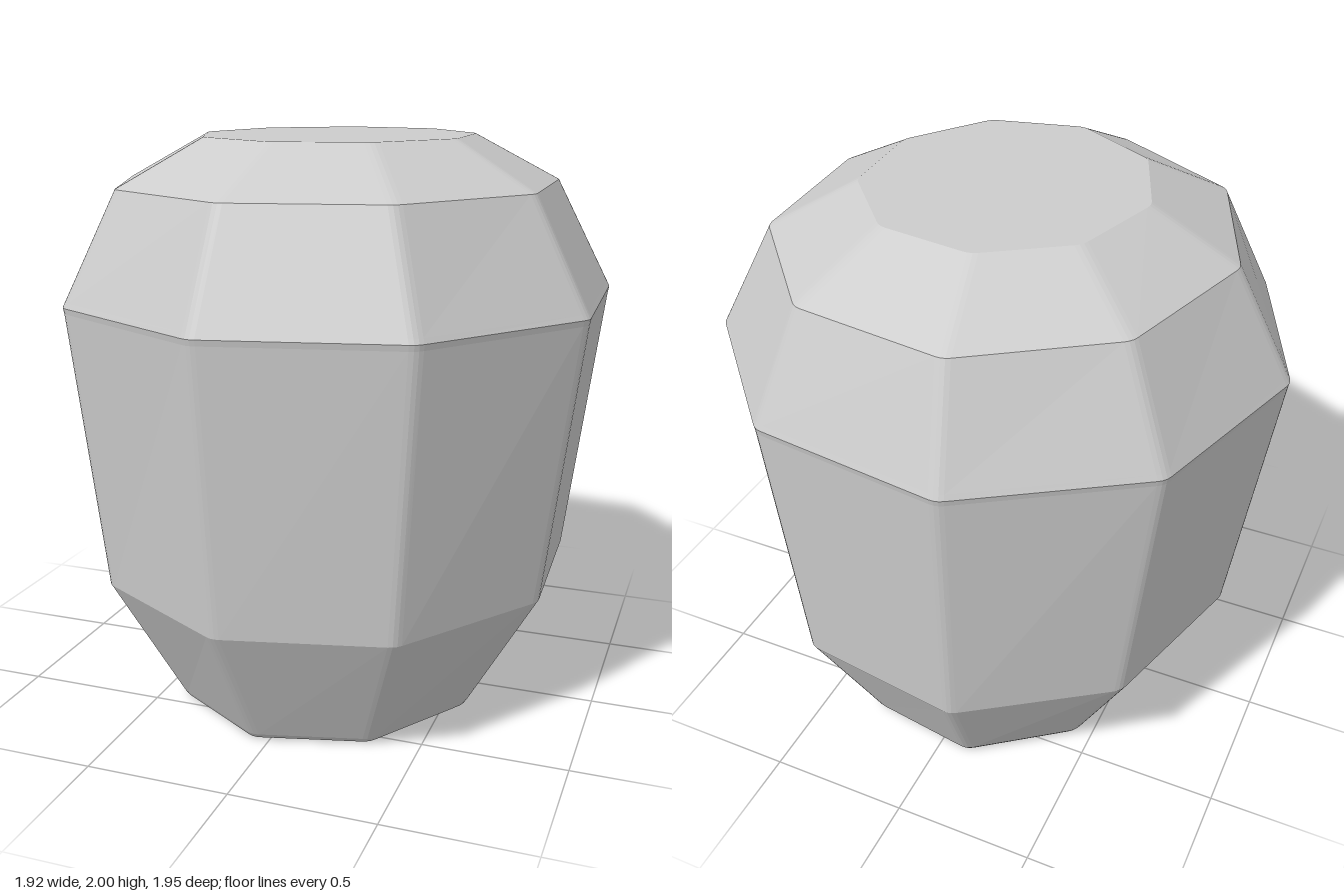
import * as THREE from 'three';

const SIDES = 9;
const START = THREE.MathUtils.degToRad(17.4);
const BEVEL = 0.025; // softening of the upright edges
const STEPS = 3;

// Rings from bottom to top: height, x radius, z radius
const RINGS = [
  [0, 0.56, 0.655],
  [0.008, 0.576, 0.672],
  [0.025, 0.588, 0.685],
  [0.475, 0.853, 0.917],
  [1.44, 0.983, 0.993],
  [1.46, 0.987, 0.997],
  [1.478, 0.977, 0.989],
  [1.84, 0.782, 0.833],
  [2, 0.483, 0.508],
];

// One nine-sided ring with softened corners
function ringPoints([y, rx, rz]) {
  const corner = (i) => {
    const a = START + (i / SIDES) * Math.PI * 2;
    return new THREE.Vector3(0.02 + rx * Math.cos(a), y, -0.01 + rz * Math.sin(a));
  };
  const points = [];
  for (let i = 0; i < SIDES; i++) {
    const p = corner(i);
    const toward = (q) => q.sub(p).setLength(BEVEL).add(p);
    const curve = new THREE.QuadraticBezierCurve3(toward(corner(i - 1)), p, toward(corner(i + 1)));
    points.push(...curve.getPoints(STEPS));
  }
  return points;
}

// Skin the rings and close both ends
function loft(rings) {
  const n = rings[0].length;
  const pos = [];
  const tri = (...pts) => pts.forEach((p) => pos.push(p.x, p.y, p.z));
  for (let r = 0; r < rings.length - 1; r++) {
    const lo = rings[r], hi = rings[r + 1];
    for (let i = 0; i < n; i++) {
      const j = (i + 1) % n;
      tri(lo[i], hi[i], lo[j]);
      tri(lo[j], hi[i], hi[j]);
    }
  }
  const bottom = rings[0], top = rings[rings.length - 1];
  for (let i = 1; i < n - 1; i++) {
    tri(bottom[0], bottom[i], bottom[i + 1]);
    tri(top[0], top[i + 1], top[i]);
  }
  const geometry = new THREE.BufferGeometry();
  geometry.setAttribute('position', new THREE.Float32BufferAttribute(pos, 3));
  geometry.computeVertexNormals();
  return geometry;
}

export function createModel() {
  const group = new THREE.Group();
  group.name = 'facetedStone';
  const grey = new THREE.MeshStandardMaterial({ color: 0xcccccc, flatShading: true });
  grey.name = 'light grey';

  const body = new THREE.Mesh(loft(RINGS.map(ringPoints)), grey);
  body.name = 'stoneBody';
  group.add(body);
  return group;
}
